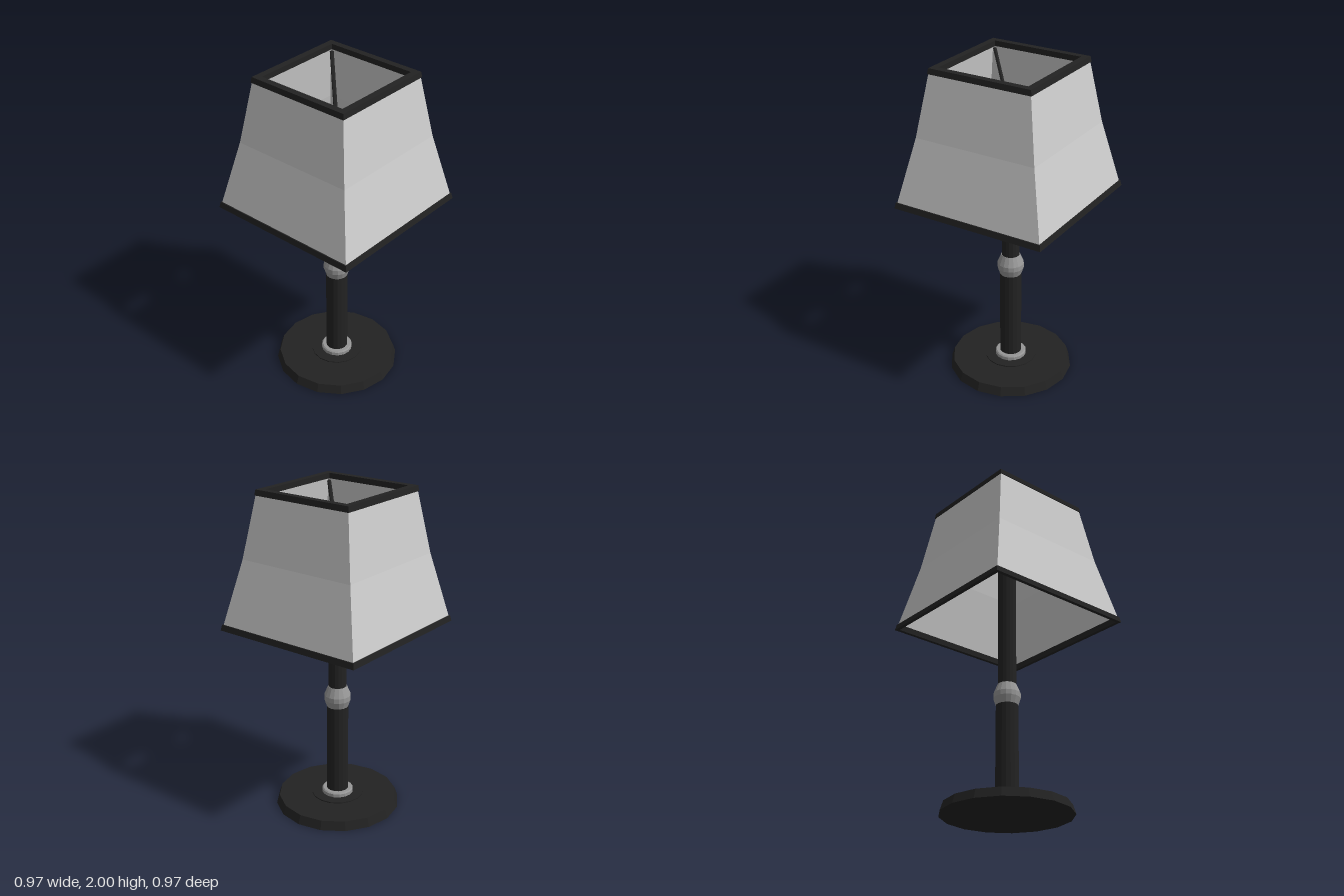
import * as THREE from 'three';

const black = new THREE.MeshStandardMaterial({ name: 'black metal', color: 0x222222, flatShading: true });
const grey = new THREE.MeshStandardMaterial({ name: 'grey metal', color: 0x969696, flatShading: true });
const fabric = new THREE.MeshStandardMaterial({ name: 'shade fabric', color: 0xcdcdcd, flatShading: true, side: THREE.DoubleSide });

export function createModel() {
  const model = new THREE.Group();
  const add = (name, geometry, material) => {
    const mesh = new THREE.Mesh(geometry, material);
    mesh.name = name;
    model.add(mesh);
    return mesh;
  };
  const points = (profile, k = 1) => profile.map(([r, y]) => new THREE.Vector2(r * k, y));

  // Turned part: profile of [radius, y], listed upwards
  const turned = (name, profile, material, sides = 16) =>
    add(name, new THREE.LatheGeometry(points(profile), sides), material);

  // Square part: profile of [half width, y]
  const square = (name, profile, material) =>
    add(name, new THREE.LatheGeometry(points(profile, Math.SQRT2), 4, Math.PI / 4), material);

  // Foot and stem
  turned('base', [[0, 0], [0.385, 0], [0.367, 0.055], [0.16, 0.058], [0.16, 0.064], [0, 0.064]], black);
  turned('baseRing', [[0.097, 0.06], [0.097, 0.085], [0.09, 0.092], [0.06, 0.092]], grey);
  turned('lowerStem', [[0.068, 0.06], [0.066, 0.66]], black);
  turned('stemKnob', [[0.05, 0.653], [0.065, 0.653], [0.081, 0.7], [0.081, 0.73], [0.057, 0.788], [0.04, 0.788]], grey);
  turned('upperStem', [[0.055, 0.78], [0.055, 1.66]], black);

  // Fitting that carries the shade
  turned('shadeHolder', [[0, 1.64], [0.16, 1.64], [0.16, 1.66], [0, 1.665]], black);
  turned('hub', [[0.042, 1.66], [0.042, 1.71], [0, 1.71]], black);
  const finial = add('finial', new THREE.SphereGeometry(0.03, 10, 8), black);
  finial.position.y = 1.73;

  // Four rods from the hub to the corners of the upper trim
  const up = new THREE.Vector3(0, 1, 0);
  for (let i = 0; i < 4; i++) {
    const angle = Math.PI / 4 + i * Math.PI / 2;
    const start = new THREE.Vector3(0, 1.68, 0);
    const end = new THREE.Vector3(0.41 * Math.cos(angle), 1.95, 0.41 * Math.sin(angle));
    const direction = end.clone().sub(start);
    const rod = add('shadeRod', new THREE.CylinderGeometry(0.012, 0.012, direction.length(), 6), black);
    rod.position.copy(start).add(end).multiplyScalar(0.5);
    rod.quaternion.setFromUnitVectors(up, direction.normalize());
  }

  // Flared square shade and its trims
  square('shade', [[0.477, 1.19], [0.385, 1.6], [0.322, 1.985]], fabric);
  square('upperTrim', [[0.285, 1.967], [0.33, 1.967], [0.325, 2], [0.285, 2], [0.285, 1.967]], black);
  square('lowerTrim', [[0.465, 1.175], [0.486, 1.175], [0.479, 1.21], [0.462, 1.21], [0.465, 1.175]], black);

  return model;
}
